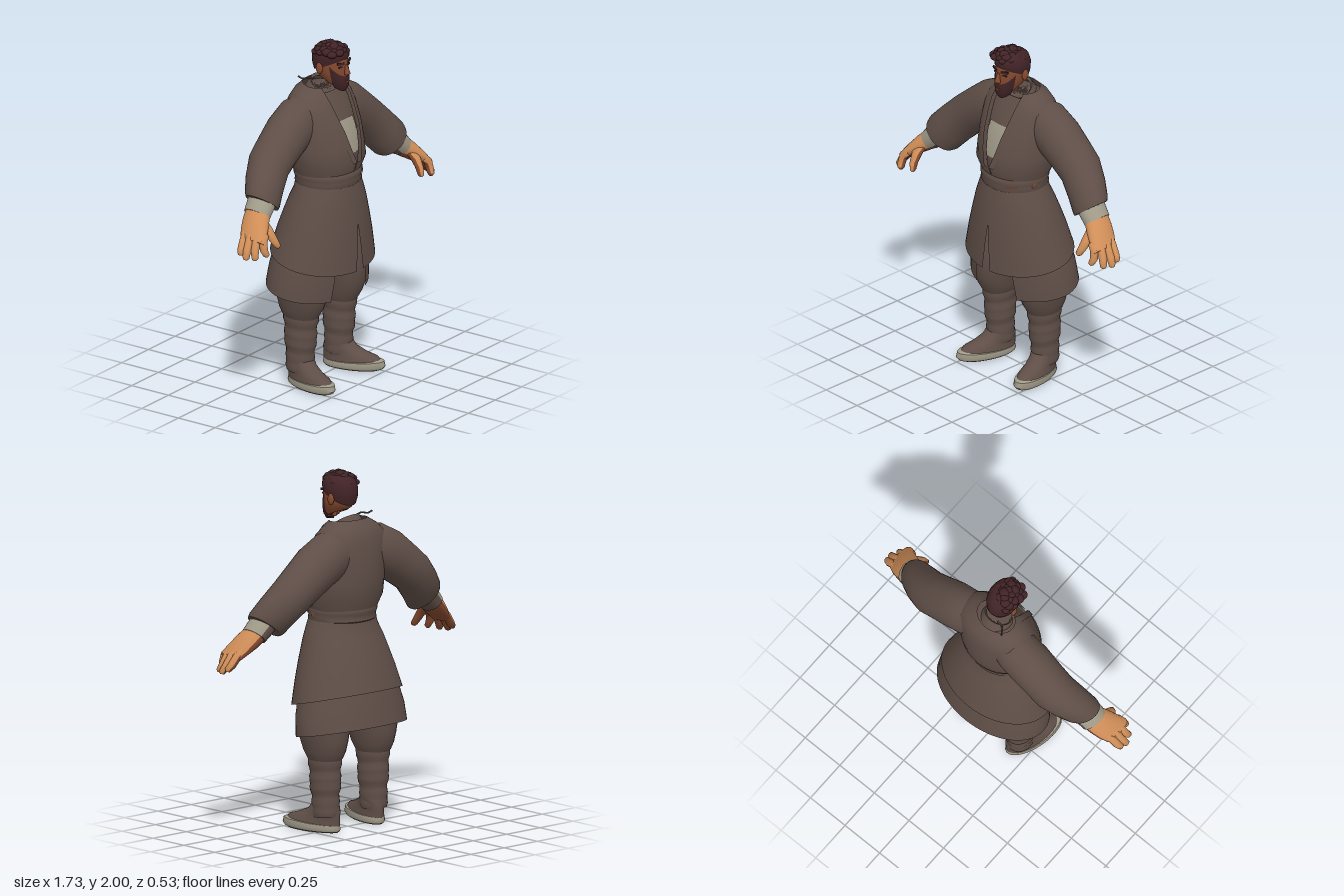
import * as THREE from 'three';
import { toCreasedNormals } from 'three/addons/utils/BufferGeometryUtils.js';

const mat = (name, color) => {
  const m = new THREE.MeshStandardMaterial({ color, side: THREE.DoubleSide });
  m.name = name;
  return m;
};
const cloth = mat('brown cloth', 0x5f4e47);
const linen = mat('grey linen', 0xa09a88);
const handSkin = mat('hand skin', 0xd08e58);
const faceSkin = mat('face skin', 0x85492f);
const hairMat = mat('dark hair', 0x412326);
const rust = mat('rust sash', 0x74493a);

// Surface through rows of points; flip mirrors the winding
function skin(rows, flip = false, crease = 0.9) {
  const pos = [], idx = [], n = rows[0].length;
  rows.forEach(r => r.forEach(p => pos.push(...p)));
  for (let j = 0; j < rows.length - 1; j++) {
    for (let i = 0; i < n - 1; i++) {
      const a = j * n + i, b = a + 1, c = a + n, d = c + 1;
      idx.push(...(flip ? [a, c, b, b, c, d] : [a, b, c, b, d, c]));
    }
  }
  const g = new THREE.BufferGeometry();
  g.setAttribute('position', new THREE.Float32BufferAttribute(pos, 3));
  g.setIndex(idx);
  return toCreasedNormals(g, crease);
}

// Upright loft, bottom to top. Row: [yFront, yBack, halfWidth, zFront, zBack, half gap in front]
// span keeps only a front part; band keeps a strip beside the gap on side s
function loft(rows, { n = 36, span = 0, band = 0, s = 1, grow = 0 } = {}) {
  return skin(rows.map(([yF, yB, w, zF, zB, gap = 0]) => {
    const a = Math.asin(Math.min(1, gap / w));
    let t0 = a, t1 = 2 * Math.PI - a;
    if (span) [t0, t1] = [-span, span];
    if (band) t1 = Math.asin(Math.min(1, (gap + band) / w));
    return Array.from({ length: n + 1 }, (_, i) => {
      const t = t0 + (t1 - t0) * i / n, c = Math.cos(t);
      return [s * (w + grow) * Math.sin(t), (yF + yB) / 2 + (yF - yB) / 2 * c,
        (zF + zB) / 2 + ((zF - zB) / 2 + grow) * c];
    });
  }), s < 0);
}

// Limb along a path, closed at the end, between two angles (0 is its upper side).
// Row: [x, y, z, radius across, radius in z]
function limb(rows, s, n, t0 = 0, t1 = 2 * Math.PI) {
  const rings = [];
  rows.forEach(([x, y, z, ru, rz], j) => {
    const p = rows[Math.max(0, j - 1)], q = rows[Math.min(rows.length - 1, j + 1)];
    const l = Math.hypot(q[0] - p[0], q[1] - p[1]), tx = (q[0] - p[0]) / l, ty = (q[1] - p[1]) / l;
    const ring = k => Array.from({ length: n + 1 }, (_, i) => {
      const t = t0 + (t1 - t0) * i / n, u = Math.cos(t) * ru * k;
      return [s * (x - ty * u), y + tx * u, z + Math.sin(t) * rz * k];
    });
    rings.push(ring(1));
    if (j === rows.length - 1) rings.push(ring(0.001));
  });
  return skin(rings, s < 0);
}

export function createModel() {
  const model = new THREE.Group();
  model.name = 'robedMan';
  const add = (name, geo, material, parent = model) => {
    const m = new THREE.Mesh(geo, material);
    m.name = name;
    parent.add(m);
    return m;
  };

  // Coat body with a V opening
  const torso = [
    [1.18, 1.18, 0.19, 0.205, -0.12], [1.24, 1.24, 0.2, 0.215, -0.14],
    [1.31, 1.31, 0.235, 0.24, -0.165, 0.003], [1.4, 1.4, 0.237, 0.226, -0.175, 0.035],
    [1.5, 1.5, 0.24, 0.2, -0.177, 0.056], [1.6, 1.6, 0.24, 0.155, -0.168, 0.074],
    [1.66, 1.66, 0.225, 0.125, -0.158, 0.082], [1.705, 1.705, 0.17, 0.1, -0.138, 0.085],
    [1.73, 1.745, 0.115, 0.08, -0.095, 0.08]];
  add('coatBody', loft(torso), cloth);
  for (const s of [1, -1]) {
    add('lapel', loft(torso.slice(2), { n: 4, band: 0.032, s, grow: 0.006 }), cloth);
  }

  // Shirt inside the opening, with its pale chest panel
  const shirt = torso.map(([a, b, w, f, k]) => [a, b, w * 0.9, f - 0.02, k + 0.03]);
  shirt[8] = [1.69, 1.725, 0.095, 0.07, -0.075];
  add('shirt', loft([...shirt, [1.7, 1.725, 0.001, 0.01, 0.008]]), cloth);
  add('chestPanel', loft([[1.36, 1.36, 0.21, 0.216, -0.1], [1.4, 1.4, 0.213, 0.21, -0.1],
    [1.5, 1.5, 0.216, 0.184, -0.1], [1.55, 1.55, 0.216, 0.162, -0.1]],
  { n: 10, span: 0.36 }), linen);
  add('collar', loft([[1.65, 1.72, 0.1, 0.105, -0.09, 0.02],
    [1.685, 1.77, 0.078, 0.078, -0.055, 0.035], [1.68, 1.755, 0.07, 0.065, -0.045, 0.035]]), cloth);

  // Folded sash with a rust coloured strip on the left
  const sash = [[1.165, 1.165, 0.188, 0.212, -0.12], [1.18, 1.18, 0.198, 0.224, -0.135],
    [1.2, 1.2, 0.194, 0.22, -0.13], [1.22, 1.22, 0.2, 0.226, -0.14],
    [1.245, 1.245, 0.202, 0.226, -0.143], [1.26, 1.26, 0.195, 0.215, -0.135]];
  add('sash', loft(sash), cloth);
  add('sashStrip', loft(sash.slice(2, 4).map(r => [...r, 0.09]), { n: 10, band: 0.06, grow: 0.004 }), rust);
  const knot = add('sashKnot', new THREE.SphereGeometry(0.026, 14, 10), rust);
  knot.scale.set(0.5, 1.1, 0.9);
  knot.position.set(0.186, 1.215, 0.07);

  // Coat skirt with a front slit, and the longer skirt below it
  add('coatSkirt', loft([[0.68, 0.8, 0.345, 0.262, -0.25, 0.03], [0.83, 0.92, 0.308, 0.256, -0.215, 0.013],
    [0.95, 1.0, 0.275, 0.248, -0.188], [1.06, 1.08, 0.243, 0.236, -0.158],
    [1.13, 1.14, 0.215, 0.226, -0.132], [1.2, 1.2, 0.19, 0.212, -0.125]], { n: 48 }), cloth);
  add('underSkirt', loft([[0.515, 0.605, 0.357, 0.205, -0.267, 0.16], [0.64, 0.7, 0.348, 0.215, -0.25, 0.145],
    [0.8, 0.86, 0.3, 0.215, -0.215, 0.12], [0.95, 0.98, 0.255, 0.21, -0.17, 0.08]], { n: 48 }), cloth);
  add('trouserSeat', loft([[0.66, 0.66, 0.001, 0.0, -0.002], [0.67, 0.67, 0.13, 0.08, -0.1],
    [0.74, 0.74, 0.25, 0.14, -0.15], [0.95, 0.95, 0.22, 0.15, -0.14]]), cloth);

  // Wrapped boot rows: soft, uneven ripples up the shin
  const shin = [];
  for (let i = 0; i <= 16; i++) {
    const y = 0.08 + i * 0.021, k = i / 16, r = 0.003 * Math.sin(i * 1.9) + 0.003 * Math.sin(i * 0.9);
    shin.push([y, y + 0.012, 0.068 + 0.016 * k + r, 0.06 + 0.035 * k + r, -0.094 - 0.022 * k - r]);
  }

  for (const s of [1, -1]) {
    // Legs
    const leg = new THREE.Group();
    leg.name = s > 0 ? 'leftLeg' : 'rightLeg';
    leg.position.x = s * 0.18;
    model.add(leg);
    add('bootShaft', loft(shin, { n: 24 }), cloth, leg);
    add('trouserLeg', loft([[0.39, 0.39, 0.074, 0.085, -0.1], [0.42, 0.42, 0.09, 0.102, -0.122],
      [0.46, 0.46, 0.106, 0.125, -0.14], [0.52, 0.52, 0.118, 0.148, -0.155],
      [0.62, 0.62, 0.142, 0.16, -0.16], [0.72, 0.72, 0.148, 0.155, -0.155],
      [0.85, 0.85, 0.1, 0.14, -0.14]], { n: 28 }), cloth, leg);

    // Shoe, turned outwards: brown underneath, pale rim
    const shoe = new THREE.Group();
    shoe.name = 'shoe';
    shoe.rotation.y = s * 0.25;
    leg.add(shoe);
    add('soleBottom', loft([[0.004, 0, 0.001, 0.08, 0.078], [0.004, 0, 0.062, 0.225, -0.09],
      [0.014, 0.008, 0.074, 0.248, -0.1]], { n: 28 }), cloth, shoe);
    add('soleRim', loft([[0.014, 0.008, 0.074, 0.248, -0.1], [0.03, 0.018, 0.08, 0.262, -0.105],
      [0.06, 0.04, 0.076, 0.255, -0.1], [0.066, 0.042, 0.062, 0.232, -0.09]], { n: 28 }), linen, shoe);
    add('shoeUpper', loft([[0.048, 0.03, 0.073, 0.246, -0.1], [0.08, 0.06, 0.067, 0.22, -0.102],
      [0.097, 0.085, 0.062, 0.16, -0.102], [0.125, 0.11, 0.065, 0.095, -0.102],
      [0.16, 0.14, 0.068, 0.065, -0.096]], { n: 28 }), cloth, shoe);

    // Sleeve
    const arm = new THREE.Group();
    arm.name = s > 0 ? 'leftArm' : 'rightArm';
    model.add(arm);
    add('sleeve', limb([[0.06, 1.58, -0.03, 0.11, 0.1], [0.17, 1.555, -0.035, 0.14, 0.125],
      [0.27, 1.505, -0.035, 0.137, 0.128], [0.37, 1.435, -0.035, 0.127, 0.123],
      [0.45, 1.375, -0.033, 0.12, 0.121], [0.53, 1.295, -0.005, 0.118, 0.112],
      [0.588, 1.228, 0.022, 0.118, 0.1], [0.601, 1.211, 0.03, 0.11, 0.092]], s, 28), cloth, arm);

    // Wrist and hand parts have a darker underside
    const twoTone = (name, rows, upper, under, n = 16) => {
      add(name, limb(rows, s, n, -0.4 * Math.PI, 0.78 * Math.PI), upper, arm);
      add(name + 'Underside', limb(rows, s, n, 0.78 * Math.PI, 1.6 * Math.PI), under, arm);
    };
    twoTone('wristWrap', [[0.585, 1.245, 0.03, 0.068, 0.085], [0.63, 1.2, 0.037, 0.066, 0.083],
      [0.667, 1.163, 0.042, 0.061, 0.08]], linen, cloth);
    twoTone('palm', [[0.655, 1.175, 0.042, 0.057, 0.076], [0.7, 1.135, 0.06, 0.052, 0.084],
      [0.745, 1.095, 0.08, 0.04, 0.087], [0.788, 1.053, 0.1, 0.026, 0.081]], handSkin, faceSkin);
    const knuckles = [[0.765, 0.162, 0.775, 0.98, 0.182], [0.78, 0.125, 0.83, 0.968, 0.145],
      [0.788, 0.085, 0.852, 0.968, 0.1], [0.785, 0.045, 0.846, 0.985, 0.06]];
    for (const [x, z, tx, ty, tz] of knuckles) {
      twoTone('finger', [[x - 0.03, 1.09, z - 0.012, 0.024, 0.021], [x + 0.005, 1.062, z, 0.025, 0.023],
        [(x + tx) / 2 + 0.008, (1.05 + ty) / 2, (z + tz) / 2, 0.023, 0.023],
        [tx - 0.003, ty + 0.012, tz, 0.019, 0.02], [tx, ty, tz, 0.011, 0.012]], handSkin, faceSkin, 8);
    }
    twoTone('thumb', [[0.685, 1.145, 0.09, 0.032, 0.032], [0.69, 1.1, 0.135, 0.031, 0.03],
      [0.684, 1.05, 0.168, 0.025, 0.024], [0.672, 1.015, 0.186, 0.019, 0.018],
      [0.668, 1.005, 0.188, 0.01, 0.01]], handSkin, faceSkin, 8);
  }

  // Head
  const head = new THREE.Group();
  head.name = 'head';
  model.add(head);
  add('face', loft([[1.735, 1.785, 0.001, 0.09, 0.088], [1.735, 1.785, 0.046, 0.145, 0.015],
    [1.768, 1.8, 0.066, 0.162, -0.008], [1.82, 1.83, 0.077, 0.167, -0.02],
    [1.875, 1.88, 0.082, 0.167, -0.035], [1.93, 1.93, 0.078, 0.158, -0.035],
    [1.965, 1.965, 0.05, 0.13, -0.01]]), faceSkin, head);
  add('beard', loft([[1.722, 1.765, 0.001, 0.11, 0.108], [1.716, 1.78, 0.044, 0.158, 0.03],
    [1.742, 1.82, 0.062, 0.174, 0.0], [1.775, 1.89, 0.074, 0.175, -0.012],
    [1.806, 1.99, 0.081, 0.171, -0.022]], { span: 1.25 }), hairMat, head);
  const lip = add('lowerLip', new THREE.BoxGeometry(0.032, 0.007, 0.008), faceSkin, head);
  lip.position.set(0, 1.776, 0.173);
  const nose = add('nose', new THREE.CylinderGeometry(0.008, 0.018, 0.055, 10), faceSkin, head);
  nose.position.set(0, 1.845, 0.17);
  nose.rotation.x = -0.2;
  for (const s of [1, -1]) {
    const ear = add('ear', new THREE.SphereGeometry(0.028, 14, 10), faceSkin, head);
    ear.scale.set(0.45, 1.2, 0.8);
    ear.position.set(s * 0.085, 1.85, 0.045);
    const brow = add('brow', new THREE.BoxGeometry(0.046, 0.013, 0.009), hairMat, head);
    brow.position.set(s * 0.037, 1.884, 0.157);
    brow.rotation.set(0, s * 0.3, s * 0.15);
    const eye = add('eye', new THREE.BoxGeometry(0.026, 0.009, 0.008), hairMat, head);
    eye.position.set(s * 0.036, 1.864, 0.156);
    eye.rotation.y = s * 0.3;
  }

  // Hair: smooth cap with a crown of curls swept to one side
  add('hairCap', loft([[1.905, 1.815, 0.083, 0.166, -0.035], [1.92, 1.85, 0.088, 0.172, -0.047],
    [1.945, 1.9, 0.088, 0.17, -0.05], [1.962, 1.945, 0.076, 0.156, -0.036],
    [1.976, 1.97, 0.052, 0.132, -0.01], [1.982, 1.98, 0.001, 0.06, 0.058]]), hairMat, head);
  for (let i = 0; i < 34; i++) {
    const a = i * 2.4, r = Math.sqrt((i + 0.5) / 34), front = Math.cos(a);
    const curl = add('curl', new THREE.IcosahedronGeometry(0.023 + 0.005 * Math.sin(i * 1.7), 2), hairMat, head);
    curl.position.set(-0.015 + 0.076 * r * Math.sin(a), 1.979 - (0.042 - 0.006 * front) * r * r, 0.076 + 0.095 * r * front);
    curl.scale.set(1.15, 0.8, 1.1);
  }

  // Loose cord at the nape
  const cord = new THREE.CatmullRomCurve3([[-0.03, 1.755, -0.03], [-0.07, 1.768, -0.04],
    [-0.09, 1.765, -0.065], [-0.105, 1.78, -0.085]].map(p => new THREE.Vector3(...p)));
  add('neckCord', new THREE.TubeGeometry(cord, 12, 0.005, 6), cloth);
  return model;
}
